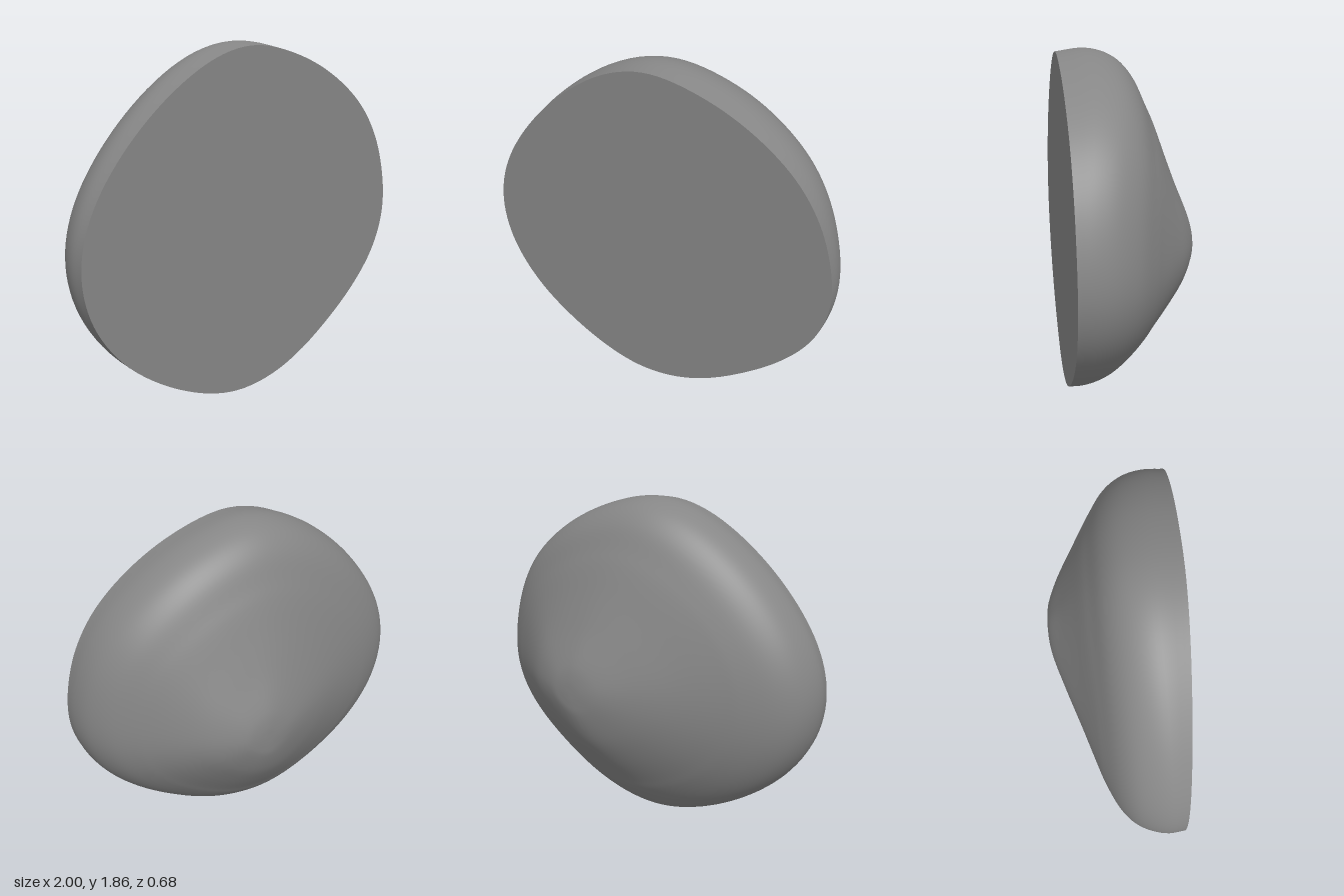
import * as THREE from 'three';

// Rim outline, counter-clockwise seen from the front
const OUTLINE = [
  [-0.02, 1.864], [-0.3, 1.785], [-0.6, 1.575], [-0.82, 1.335], [-0.955, 1.1], [-1.003, 0.86], [-0.955, 0.61],
  [-0.81, 0.385], [-0.6, 0.205], [-0.33, 0.06], [-0.05, -0.004], [0.28, 0.065], [0.6, 0.27], [0.8, 0.45],
  [0.94, 0.645], [1.003, 0.88], [0.965, 1.14], [0.875, 1.36], [0.735, 1.54], [0.5, 1.71], [0.25, 1.815],
];
// Depth from the peak (0) out to the rim (1), along the four main directions
const PEAK = new THREE.Vector3(0.2, 0.86, -0.34);
const REACH = [0, 0.07, 0.15, 0.33, 0.5, 0.67, 0.75, 0.87, 0.94, 0.98, 1, 1];
const DEPTH = {
  xNeg: [-0.34, -0.336, -0.319, -0.248, -0.175, -0.105, -0.07, 0, 0.07, 0.15, 0.25, 0.34],
  xPos: [-0.34, -0.338, -0.33, -0.272, -0.185, -0.09, -0.045, 0.035, 0.11, 0.18, 0.265, 0.34],
  up: [-0.34, -0.337, -0.322, -0.252, -0.19, -0.13, -0.095, -0.04, 0.02, 0.09, 0.19, 0.34],
  down: [-0.34, -0.338, -0.33, -0.274, -0.185, -0.08, -0.033, 0.06, 0.13, 0.2, 0.27, 0.34],
};
const RINGS = 48, SEGMENTS = 128;

export function createModel() {
  const group = new THREE.Group();
  group.name = 'halfPebble';
  const material = new THREE.MeshStandardMaterial({ color: 0x868686 });

  // Outline curve, averaged over a short stretch to keep it softly rounded
  const outline = new THREE.CatmullRomCurve3(
    OUTLINE.map(([x, y]) => new THREE.Vector3(x, y, 0)), true);
  const rimPoint = (u) => {
    const sum = new THREE.Vector3();
    for (let k = -3; k <= 3; k++) sum.add(outline.getPoint((u + 1 + k * 0.007) % 1));
    return sum.divideScalar(7);
  };

  // Domed back: one spline per spoke from the peak to the rim
  const positions = [PEAK.x, PEAK.y, PEAK.z];
  const index = [];
  const rim = [];
  const at = (j, i) => 1 + (j % SEGMENTS) * RINGS + i - 1;
  for (let j = 0; j < SEGMENTS; j++) {
    const edge = rimPoint(j / SEGMENTS);
    const dx = edge.x - PEAK.x, dy = edge.y - PEAK.y;
    const r2 = dx * dx + dy * dy;
    const side = dx > 0 ? DEPTH.xPos : DEPTH.xNeg;
    const end = dy > 0 ? DEPTH.up : DEPTH.down;
    // The upper and left rim curls in slightly
    const tuck = 0.018 * Math.max(0, (0.87 * dy - 0.5 * dx) / Math.sqrt(r2));
    const spoke = new THREE.CatmullRomCurve3(REACH.map((t, k) => new THREE.Vector3(
      k === REACH.length - 1 ? t - tuck : t,
      (side[k] * dx * dx + end[k] * dy * dy) / r2, 0)));
    for (let i = 1; i <= RINGS; i++) {
      const p = spoke.getPoint(i / RINGS);
      positions.push(PEAK.x + dx * p.x, PEAK.y + dy * p.x, p.y);
      if (i === RINGS) rim.push(new THREE.Vector2(PEAK.x + dx * p.x, PEAK.y + dy * p.x));
      if (i === 1) index.push(0, at(j + 1, 1), at(j, 1));
      else {
        const a = at(j, i - 1), b = at(j, i), c = at(j + 1, i - 1), d = at(j + 1, i);
        index.push(a, c, b, b, c, d);
      }
    }
  }
  const dome = new THREE.BufferGeometry();
  dome.setAttribute('position', new THREE.Float32BufferAttribute(positions, 3));
  dome.setIndex(index);
  dome.computeVertexNormals();
  const back = new THREE.Mesh(dome, material);
  back.name = 'roundedBack';
  group.add(back);

  // Flat cut face at the front
  const face = new THREE.Mesh(new THREE.ShapeGeometry(new THREE.Shape(rim)), material);
  face.name = 'flatFace';
  face.position.z = 0.34;
  group.add(face);

  return group;
}
